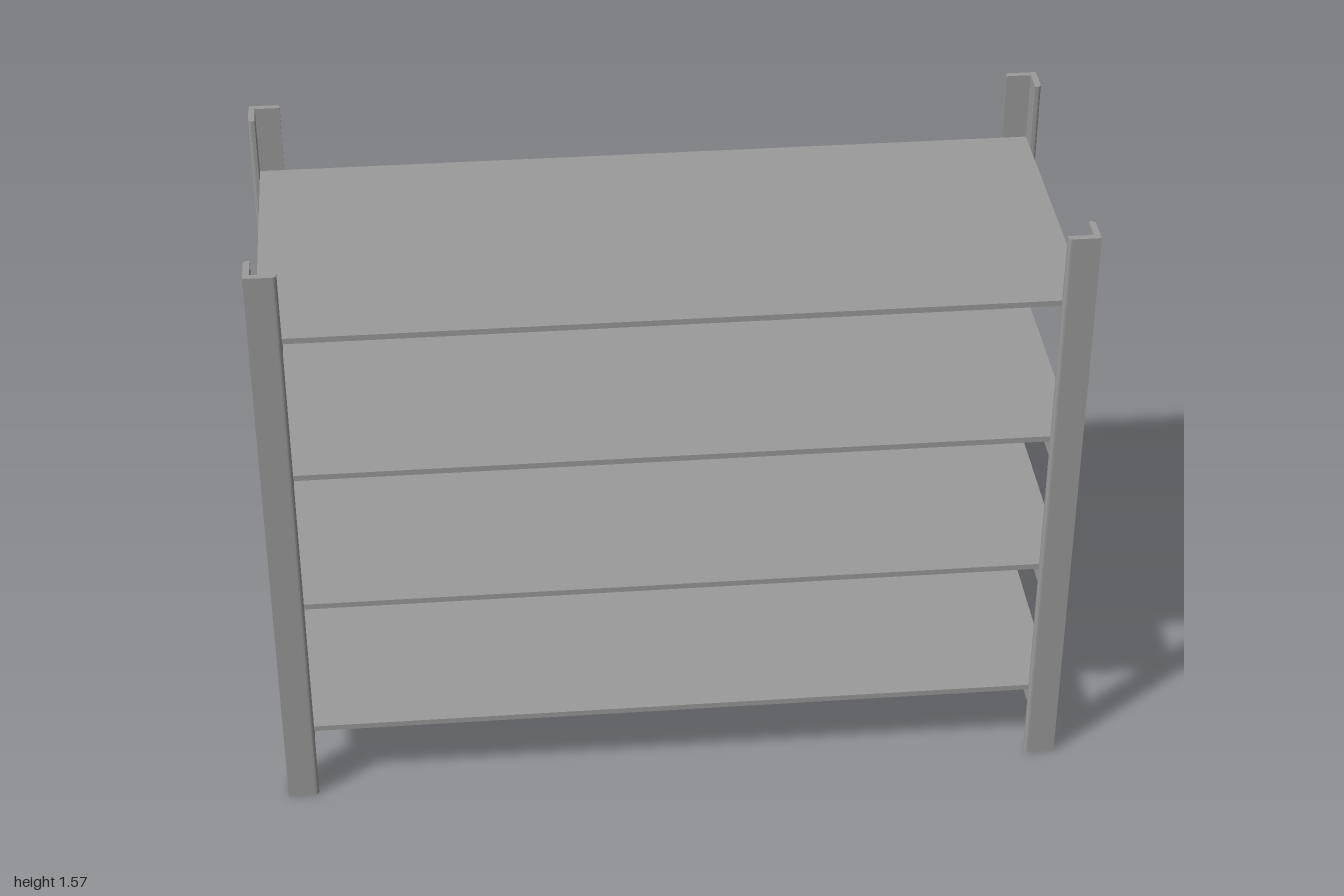
import * as THREE from 'three';

const W = 1, D = 0.41, H = 1.571;      // half width, half depth, height
const LEG = 0.078, T = 0.016, R = 0.01; // angle post leg, thickness, tip rounding
const SHELF_T = 0.015, BRACKET_H = 0.047;
const SHELF_Y = [0.207, 0.6, 0.992, 1.385]; // shelf centres

const material = new THREE.MeshStandardMaterial({ color: 0x9a9a9a });

function addBox(parent, name, size, position) {
  const mesh = new THREE.Mesh(new THREE.BoxGeometry(...size), material);
  mesh.name = name;
  mesh.position.set(...position);
  parent.add(mesh);
}

// Angle-iron post: L section with its outer corner at (sx * W, sz * D)
function postGeometry(sx, sz) {
  const section = new THREE.Shape();
  section.moveTo(0, 0);
  section.lineTo(LEG - R, 0);
  section.quadraticCurveTo(LEG, 0, LEG, R);
  section.lineTo(LEG, T);
  section.lineTo(T, T);
  section.lineTo(T, LEG);
  section.lineTo(R, LEG);
  section.quadraticCurveTo(0, LEG, 0, LEG - R);
  section.lineTo(0, 0);
  // Place the section in plan; shape y becomes -z after the rotation
  const points = section.getPoints(5).map(
    (p) => new THREE.Vector2(sx * (W - p.x), -sz * (D - p.y)));
  const geometry = new THREE.ExtrudeGeometry(new THREE.Shape(points), { depth: H, bevelEnabled: false });
  return geometry.rotateX(-Math.PI / 2);
}

export function createModel() {
  const model = new THREE.Group();
  model.name = 'shelvingUnit';

  // Shelves fit between the inner faces of the posts
  SHELF_Y.forEach((y, i) => {
    addBox(model, `shelf${i + 1}`, [2 * (W - T), SHELF_T, 2 * (D - T)], [0, y, 0]);
  });

  // Four corner posts, each with a support block under every shelf
  for (const [sx, side] of [[1, 'Left'], [-1, 'Right']]) {
    for (const [sz, end] of [[1, 'front'], [-1, 'back']]) {
      const corner = new THREE.Group();
      corner.name = `${end}${side}Corner`;
      const post = new THREE.Mesh(postGeometry(sx, sz), material);
      post.name = `${end}${side}Post`;
      corner.add(post);

      const size = LEG - T - 0.002;
      SHELF_Y.forEach((y, i) => {
        addBox(corner, `shelfSupport${i + 1}`, [size, BRACKET_H, size],
          [sx * (W - T - size / 2), y - SHELF_T / 2 - BRACKET_H / 2, sz * (D - T - size / 2)]);
      });
      model.add(corner);
    }
  }
  return model;
}
